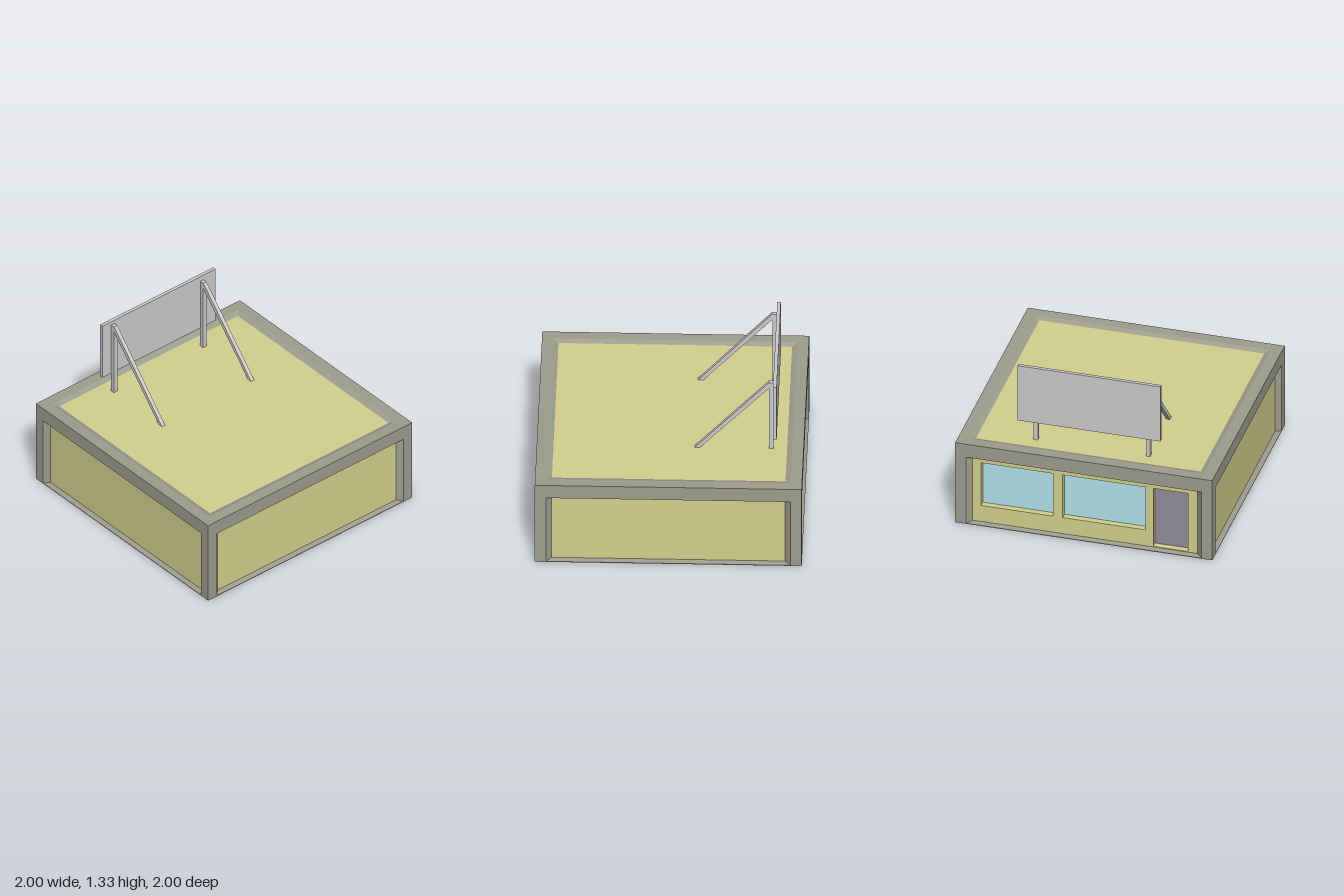
import * as THREE from 'three';

const material = (color, side = THREE.FrontSide) =>
  new THREE.MeshStandardMaterial({ color, side, flatShading: true });
const frameMat = material(0x9d9d8e, THREE.DoubleSide);
const wallMat = material(0xd3d18d, THREE.DoubleSide);
const glassMat = material(0xb0e2ec, THREE.DoubleSide);
const doorMat = material(0x908e9a, THREE.DoubleSide);
const greyMat = material(0xcccccc);

function add(parent, name, geometry, mat, x = 0, y = 0, z = 0) {
  const mesh = new THREE.Mesh(geometry, mat);
  mesh.name = name;
  mesh.position.set(x, y, z);
  parent.add(mesh);
  return mesh;
}

// A rectangle facing local +z: half width, bottom, top, depth
const rect = (w, y0, y1, z) => [[-w, y0, z], [w, y0, z], [w, y1, z], [-w, y1, z]];

// Band of four quads between an outer and an inner rectangle
function ring(outer, inner) {
  const index = [];
  for (let i = 0; i < 4; i++) {
    const j = (i + 1) % 4;
    index.push(i, j, 4 + j, i, 4 + j, 4 + i);
  }
  const g = new THREE.BufferGeometry();
  g.setAttribute('position', new THREE.Float32BufferAttribute([...outer, ...inner].flat(), 3));
  g.setIndex(index);
  const flat = g.toNonIndexed();
  flat.computeVertexNormals();
  return flat;
}

function rectPath(PathType, [x0, x1, y0, y1]) {
  const p = new PathType();
  p.moveTo(x0, y0);
  p.lineTo(x1, y0);
  p.lineTo(x1, y1);
  p.lineTo(x0, y1);
  p.closePath();
  return p;
}

function panel(parent, name, [x0, x1, y0, y1], z, mat) {
  add(parent, name, new THREE.PlaneGeometry(x1 - x0, y1 - y0), mat, (x0 + x1) / 2, (y0 + y1) / 2, z);
}

// Frame face with a sloping reveal leading to a recessed opening
function frameFace(parent, outer, opening, inner, revealMat = frameMat) {
  add(parent, 'frameBorder', ring(outer, opening), frameMat);
  add(parent, 'frameReveal', ring(opening, inner), revealMat);
}

export function createModel() {
  const model = new THREE.Group();
  const building = new THREE.Group();
  building.name = 'building';
  model.add(building);

  // Four sides: front, left, back, and the shopfront facing -x
  const wall = [-0.875, 0.875, 0.015, 0.575];
  ['frontSide', 'leftSide', 'backSide', 'shopfrontSide'].forEach((name, i) => {
    const side = new THREE.Group();
    side.name = name;
    side.rotation.y = i * Math.PI / 2;
    building.add(side);
    frameFace(side, rect(1, 0, 0.7, 1), rect(0.915, 0.005, 0.585, 1), rect(0.875, 0.015, 0.575, 0.96));
    if (i < 3) {
      panel(side, 'wall', wall, 0.96, wallMat);
      return;
    }
    // Shopfront wall with two windows and a door set into it
    const openings = [
      ['window', [-0.81, -0.25, 0.155, 0.53], glassMat],
      ['window', [-0.175, 0.47, 0.155, 0.53], glassMat],
      ['door', [0.53, 0.8, 0.02, 0.53], doorMat],
    ];
    const shape = rectPath(THREE.Shape, wall);
    for (const [, box] of openings) shape.holes.push(rectPath(THREE.Path, box));
    const geometry = new THREE.ExtrudeGeometry(shape, { depth: 0.055, bevelEnabled: false });
    add(side, 'shopfrontWall', geometry, wallMat, 0, 0, 0.905);
    for (const [part, box, mat] of openings) panel(side, part, box, 0.91, mat);
  });

  // Roof and underside, each slightly sunk inside its border
  [['roof', -1, 0.7, frameMat], ['underside', 1, 0, wallMat]].forEach(([name, s, y, revealMat]) => {
    const cap = new THREE.Group();
    cap.name = name;
    cap.rotation.x = s * Math.PI / 2;
    cap.position.y = y;
    building.add(cap);
    frameFace(cap, rect(1, -1, 1, 0), rect(0.915, -0.915, 0.915, 0), rect(0.875, -0.875, 0.875, -0.015), revealMat);
    panel(cap, name + 'Panel', [-0.875, 0.875, -0.875, 0.875], -0.015, wallMat);
  });

  // Billboard on the roof
  const sign = new THREE.Group();
  sign.name = 'billboard';
  model.add(sign);
  add(sign, 'signBoard', new THREE.BoxGeometry(0.027, 0.48, 1.11), greyMat, -0.7865, 1.09, -0.015);

  // Two posts, each with a diagonal brace down to the roof
  for (const [z, top] of [[0.437, 1.3], [-0.437, 1.287]]) {
    add(sign, 'post', new THREE.BoxGeometry(0.033, top - 0.685, 0.033), greyMat, -0.757, (top + 0.685) / 2, z);
    const brace = new THREE.Shape([
      new THREE.Vector2(-0.745, top),
      new THREE.Vector2(-0.745, top - 0.045),
      new THREE.Vector2(-0.222, 0.685),
      new THREE.Vector2(-0.183, 0.685),
      new THREE.Vector2(-0.738, top),
    ]);
    const geometry = new THREE.ExtrudeGeometry(brace, { depth: 0.03, bevelEnabled: false });
    add(sign, 'brace', geometry, greyMat, 0, 0, z - 0.015);
  }
  return model;
}
